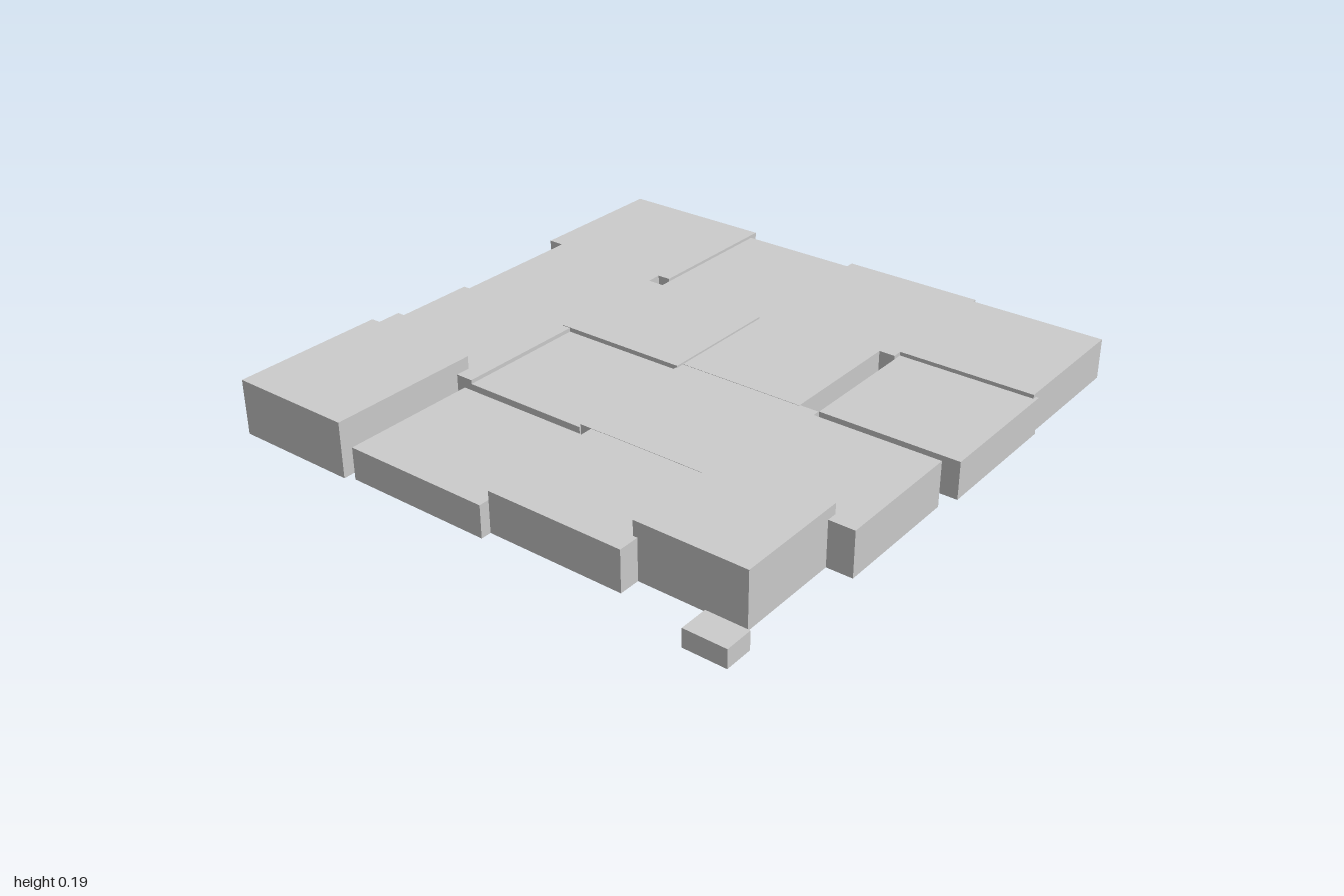
import * as THREE from 'three';

const material = new THREE.MeshStandardMaterial({ color: 0xcccccc, side: THREE.DoubleSide });

// Box standing on the ground, open underneath
function openBox(name, x0, x1, z0, z1, height) {
  const geometry = new THREE.BoxGeometry(x1 - x0, height, z1 - z0);
  const index = Array.from(geometry.index.array);
  index.splice(18, 6); // drop the bottom face
  geometry.setIndex(index);
  geometry.clearGroups();
  const mesh = new THREE.Mesh(geometry, material);
  mesh.name = name;
  mesh.position.set((x0 + x1) / 2, height / 2, (z0 + z1) / 2);
  return mesh;
}

// Paving slabs from back to front, each row from -x to +x: [x0, x1, z0, z1, height]
const slabRows = [
  [
    [-0.965, -0.42, -0.98, -0.465, 0.14],
    [-0.42, 0.005, -0.95, -0.415, 0.13],
    [0.005, 0.495, -0.965, -0.445, 0.138],
    [0.49, 0.96, -0.95, -0.48, 0.138],
  ],
  [
    [-0.91, -0.465, -0.47, 0.015, 0.14],
    [-0.465, 0.005, -0.405, 0.035, 0.144],
    [0.0, 0.44, -0.45, 0.005, 0.138],
    [0.495, 0.97, -0.495, -0.02, 0.125],
  ],
  [
    [-0.93, -0.435, 0.015, 0.49, 0.142],
    [-0.435, 0.0, 0.035, 0.49, 0.129],
    [0.0, 0.505, 0.0, 0.485, 0.137],
    [0.465, 0.945, 0.045, 0.49, 0.15],
  ],
  [
    [-0.92, -0.495, 0.44, 0.965, 0.185],
    [-0.465, 0.04, 0.49, 0.95, 0.107],
    [0.04, 0.505, 0.485, 0.915, 0.136],
    [0.49, 0.86, 0.455, 0.845, 0.185],
  ],
];

// Small loose stones around the rim
const pebbles = [
  [-0.39, -0.325, -1.0, -0.93, 0.08],
  [-0.975, -0.88, 0.28, 0.44, 0.13],
  [0.77, 0.91, 0.905, 1.0, 0.06],
];

export function createModel() {
  const model = new THREE.Group();
  model.name = 'stonePaving';
  slabRows.forEach((row, r) => {
    const group = new THREE.Group();
    group.name = `slabRow${r + 1}`;
    row.forEach((slab, c) => group.add(openBox(`slab${r + 1}_${c + 1}`, ...slab)));
    model.add(group);
  });
  pebbles.forEach((stone, i) => model.add(openBox(`smallStone${i + 1}`, ...stone)));
  return model;
}
